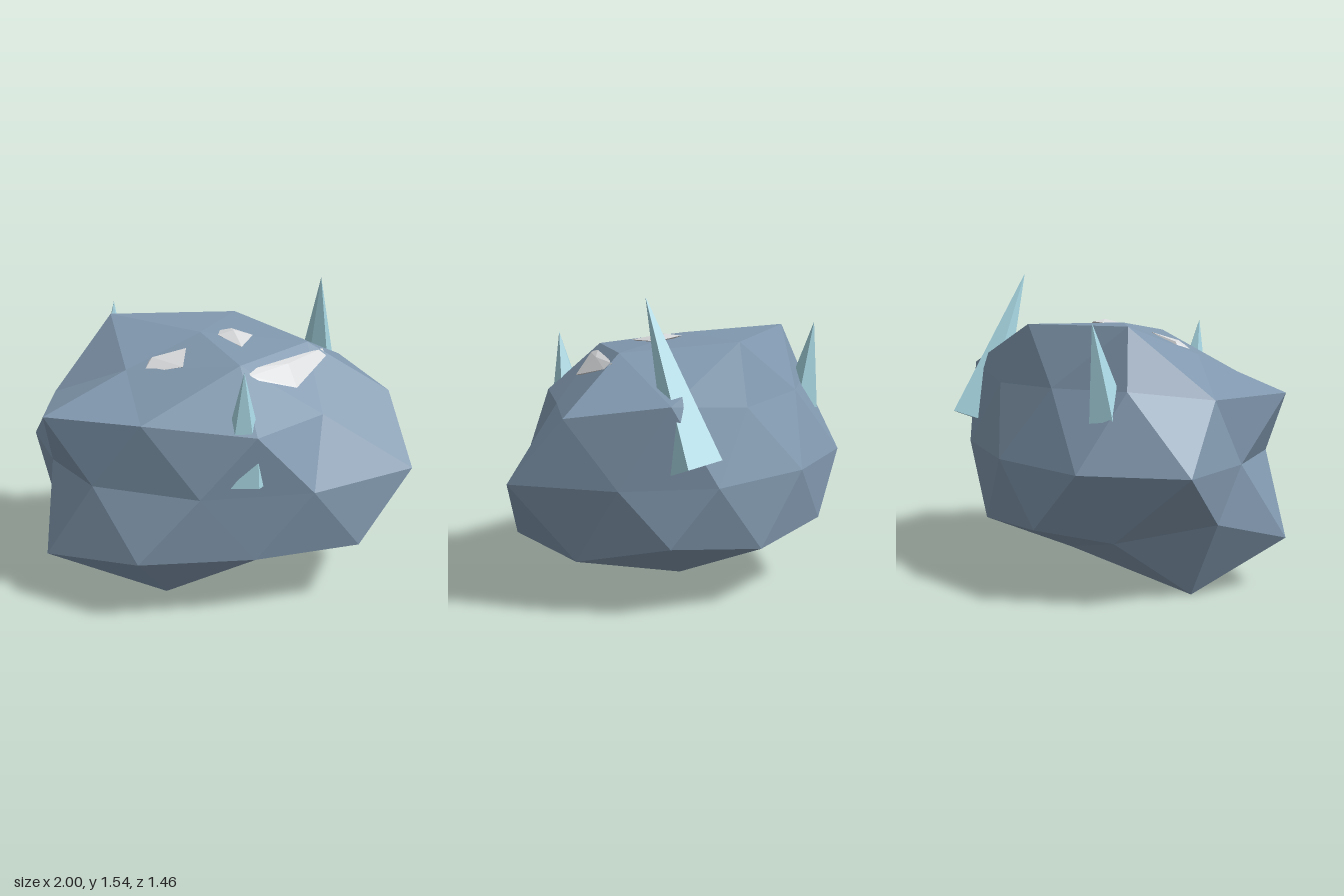
import * as THREE from 'three';
import { ConvexGeometry } from 'three/addons/geometries/ConvexGeometry.js';

const stone = new THREE.MeshStandardMaterial({ color: 0x8198ae, flatShading: true });
stone.name = 'blue grey stone';
const ice = new THREE.MeshStandardMaterial({ color: 0xaadae6, flatShading: true });
ice.name = 'pale ice';
const chalk = new THREE.MeshStandardMaterial({ color: 0xd8dadc, flatShading: true });
chalk.name = 'light grey chalk';

// Rings of the uneven boulder, from the top down, each running from +x towards +z
const rings = {
  top: [[-0.08, 1.3, 0]],
  crown: [[0.47, 1.25, 0], [0.12, 1.235, 0.4], [-0.45, 1.155, 0.2], [-0.57, 1.32, -0.31], [0.1, 1.3, -0.46]],
  shoulder: [[0.9, 0.99, 0], [0.2, 0.97, 0.7], [-0.84, 0.985, 0.44], [-0.68, 1.03, -0.39], [0.2, 1.0, -0.57]],
  shoulderMid: [[0.53, 0.975, 0.355], [-0.35, 1.0, 0.62], [-0.84, 0.98, 0], [-0.29, 1.02, -0.56], [0.68, 1.06, -0.46]],
  waist: [
    [1, 0.66, 0.27], [0.48, 0.66, 0.61], [-0.07, 0.66, 0.71], [-0.6, 0.66, 0.53], [-0.845, 0.66, 0.16],
    [-1, 0.66, -0.26], [-0.63, 0.66, -0.64], [-0.07, 0.66, -0.73], [0.49, 0.66, -0.6], [0.81, 0.66, -0.25],
  ],
  hip: [[0.72, 0.325, 0.47], [-0.37, 0.33, 0.73], [-0.87, 0.39, 0], [-0.33, 0.35, -0.69], [0.63, 0.365, -0.42]],
  hipMid: [[0.82, 0.28, 0], [0.2, 0.315, 0.63], [-0.85, 0.26, 0.45], [-0.6, 0.3, -0.41], [0.2, 0.305, -0.66]],
  foot: [[0.3, 0.15, 0.2], [-0.25, 0.04, 0.43], [-0.67, 0, 0], [-0.14, 0.18, -0.36], [0.31, 0.14, -0.25]],
  bottom: [[-0.08, 0.08, 0]],
};

// Joins the rings in the pattern of a once-divided icosahedron
function boulderGeometry() {
  const pos = [];
  const tri = (...corners) => corners.forEach((c) => pos.push(...c));
  const pick = (ring) => (i) => ring[(i + ring.length) % ring.length];
  const [T, R, U, M, E, L, N, S, B] = Object.values(rings).map(pick);
  for (let k = 0; k < 5; k++) {
    const n = k + 1, e = 2 * k;
    // cap
    tri(T(0), R(n), R(k));
    tri(M(k), R(k), R(n));
    tri(R(k), M(k), U(k));
    tri(R(n), U(n), M(k));
    // shoulder to waist
    tri(U(k), E(e), E(e - 1));
    tri(E(e), U(k), M(k));
    tri(M(k), E(e + 1), E(e));
    tri(E(e + 1), M(k), U(n));
    // waist to hip
    tri(L(k), E(e), E(e + 1));
    tri(N(k), E(e - 1), E(e));
    tri(E(e), L(k), N(k));
    tri(E(e + 1), N(n), L(k));
    // underside
    tri(S(k), N(k), L(k));
    tri(S(k), L(k), N(n));
    tri(N(n), S(n), S(k));
    tri(B(0), S(k), S(n));
  }
  const geo = new THREE.BufferGeometry();
  geo.setAttribute('position', new THREE.Float32BufferAttribute(pos, 3));
  geo.computeVertexNormals();
  return geo;
}

// Five-sided spike from the centre of its base to its tip, with a flat side to the front
function spike(name, base, tip, radius) {
  const from = new THREE.Vector3(...base);
  const axis = new THREE.Vector3(...tip).sub(from);
  const height = axis.length();
  const geo = new THREE.ConeGeometry(radius, height, 5).rotateY(Math.PI).translate(0, height / 2, 0);
  const mesh = new THREE.Mesh(geo, ice);
  mesh.quaternion.setFromUnitVectors(new THREE.Vector3(0, 1, 0), axis.normalize());
  mesh.position.copy(from);
  mesh.name = name;
  return mesh;
}

// Angular chip spanning a few corner points
function chip(name, material, points) {
  const mesh = new THREE.Mesh(new ConvexGeometry(points.map((p) => new THREE.Vector3(...p))), material);
  mesh.name = name;
  return mesh;
}

export function createModel() {
  const model = new THREE.Group();
  model.name = 'crystalBoulder';

  const boulder = new THREE.Mesh(boulderGeometry(), stone);
  boulder.name = 'boulder';
  model.add(boulder);

  // Crystals
  model.add(
    spike('largeCrystal', [0.56, 0.765, -0.525], [0.55, 1.54, -0.22], 0.145),
    spike('frontCrystal', [0.135, 0.99, 0.625], [0.135, 1.28, 0.67], 0.07),
    spike('backCrystal', [-0.58, 0.9, -0.435], [-0.57, 1.345, -0.51], 0.1),
    chip('smallCrystal', ice, [
      [0.06, 0.715, 0.69], [0.205, 0.845, 0.69], [0.21, 0.715, 0.695], [0.23, 0.72, 0.67], [0.14, 0.75, 0.6],
    ]),
  );

  // Chips lying in the top surface
  model.add(
    chip('longChip', chalk, [
      [0.15, 1.215, 0.385], [0.17, 1.19, 0.42], [0.21, 1.165, 0.415], [0.4, 1.105, 0.335],
      [0.55, 1.21, -0.02], [0.565, 1.18, 0.02], [0.36, 1.2, 0.235], [0.3, 1.1, 0.18],
    ]),
    chip('topChip', chalk, [
      [0.08, 1.3, -0.08], [0.02, 1.295, -0.06], [0.01, 1.29, 0.02], [0.09, 1.31, 0],
      [0.13, 1.27, 0.18], [0.19, 1.28, -0.02], [0.1, 1.24, 0.03],
    ]),
    chip('sideChip', chalk, [
      [-0.35, 1.18, 0.15], [-0.32, 1.21, 0.16], [-0.15, 1.25, 0.13], [-0.16, 1.2, 0.3],
      [-0.29, 1.17, 0.27], [-0.35, 1.17, 0.23], [-0.25, 1.13, 0.2],
    ]),
  );
  return model;
}
